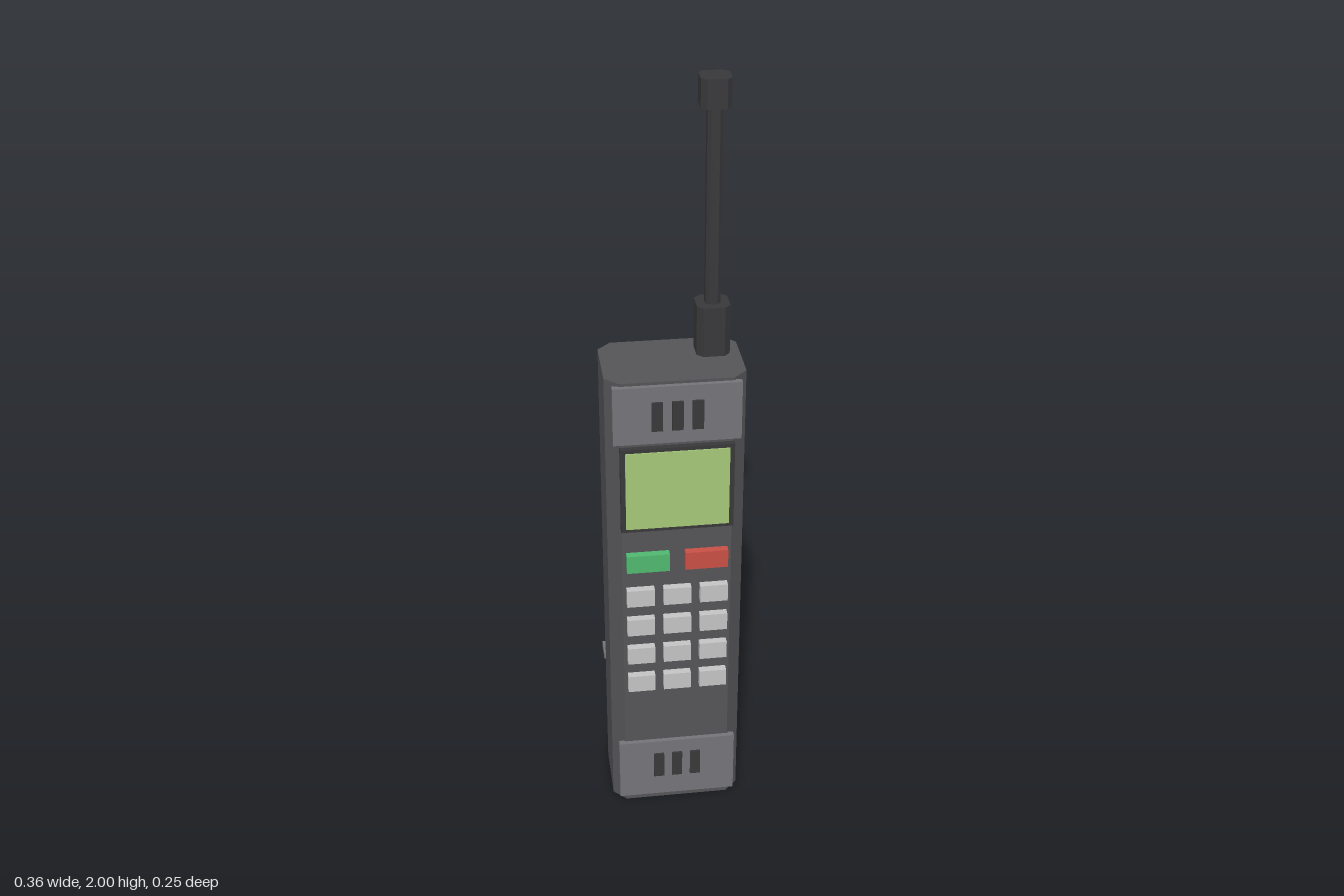
import * as THREE from 'three';

const material = (name, color) => {
  const m = new THREE.MeshStandardMaterial({ color });
  m.name = name;
  return m;
};

export function createModel() {
  const casing = material('casing grey', 0x555558);
  const trim = material('trim grey', 0x757579);
  const dark = material('dark plastic', 0x38383a);
  const glass = material('screen green', 0xa5c878);
  const keyGrey = material('key grey', 0xc4c4c4);
  const green = material('call green', 0x50b870);
  const red = material('end red', 0xc85046);

  const phone = new THREE.Group();
  phone.name = 'phone';

  const add = (name, geometry, mat, x, y, z) => {
    const mesh = new THREE.Mesh(geometry, mat);
    mesh.name = name;
    mesh.position.set(x, y, z);
    phone.add(mesh);
  };

  // Box given by its centre, its size and its z range
  const block = (name, mat, x, y, w, h, z0, z1) =>
    add(name, new THREE.BoxGeometry(w, h, z1 - z0), mat, x, y, (z0 + z1) / 2);

  // Upright column with chamfered corners
  const column = (name, mat, x, z, w, d, c, y0, y1) => {
    const a = w / 2, b = d / 2;
    const outline = new THREE.Shape([
      [a - c, -b], [a, -b + c], [a, b - c], [a - c, b],
      [-a + c, b], [-a, b - c], [-a, -b + c], [-a + c, -b],
    ].map(([px, py]) => new THREE.Vector2(px, py)));
    const geometry = new THREE.ExtrudeGeometry(outline, { depth: y1 - y0, bevelEnabled: false });
    geometry.rotateX(-Math.PI / 2);
    add(name, geometry, mat, x, y0, z);
  };

  // Casing
  column('body', casing, 0, -0.01, 0.348, 0.226, 0.034, 0, 1.31);

  // Antenna
  column('antennaBase', dark, 0.107, -0.055, 0.083, 0.083, 0.015, 1.3, 1.44);
  column('antennaRod', dark, 0.107, -0.055, 0.037, 0.037, 0.008, 1.43, 1.94);
  column('antennaCap', dark, 0.107, -0.055, 0.073, 0.073, 0.013, 1.93, 2);

  // Earpiece and mouthpiece panels with slots
  for (const [name, y, h, slotY] of [['earpiece', 1.225, 0.155, 1.223], ['mouthpiece', 0.115, 0.186, 0.128]]) {
    block(`${name}Panel`, trim, 0, y, 0.316, h, 0.099, 0.115);
    for (const x of [-0.05, 0, 0.05]) block(`${name}Slot`, dark, x, slotY, 0.028, 0.078, 0.113, 0.121);
  }

  // Screen
  block('screenBezel', dark, 0, 1.016, 0.284, 0.238, 0.099, 0.118);
  block('screen', glass, 0, 1.016, 0.26, 0.218, 0.115, 0.121);

  // Call, end and number keys
  block('callKey', green, -0.075, 0.801, 0.11, 0.051, 0.099, 0.123);
  block('endKey', red, 0.075, 0.801, 0.11, 0.051, 0.099, 0.123);
  for (let row = 0; row < 4; row++) {
    for (let col = -1; col <= 1; col++) {
      block('numberKey', keyGrey, col * 0.095, 0.695 - row * 0.092, 0.072, 0.05, 0.099, 0.123);
    }
  }

  // Band around the back
  block('backBand', trim, 0, 0.373, 0.358, 0.02, -0.125, -0.072);

  return phone;
}
